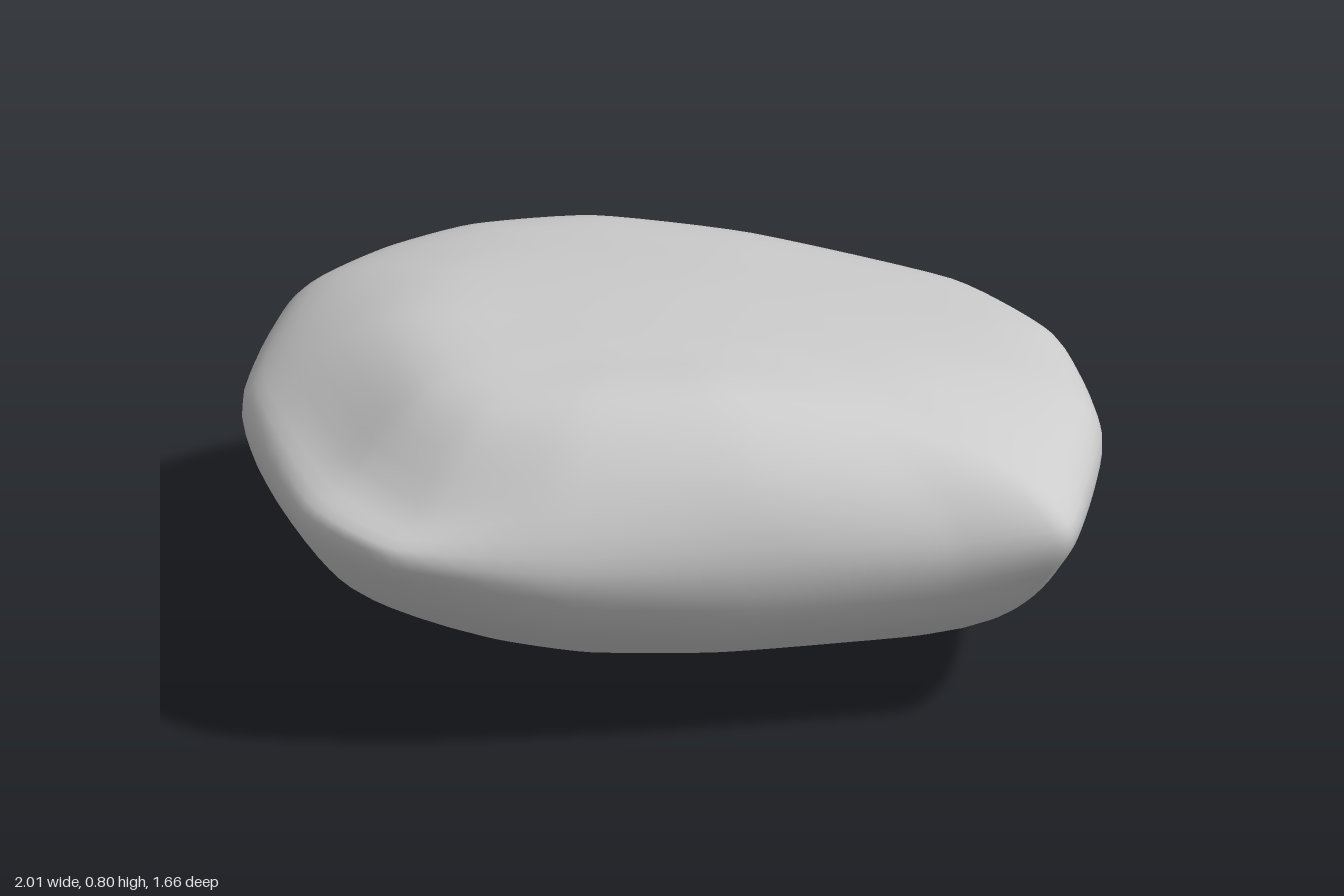
import * as THREE from 'three';

// Stations around the rim, clockwise from above:
// x, z, rim height, then reach and height of the shoulder, belly and underside
const STATIONS = [
  [-1.0, 0.0, 0.55, 0.93, 0.65, 0.955, 0.37, 0.8, 0.19],
  [-0.96, -0.25, 0.56, 0.93, 0.65, 0.95, 0.38, 0.8, 0.19],
  [-0.84, -0.47, 0.57, 0.94, 0.65, 0.95, 0.39, 0.8, 0.19],
  [-0.61, -0.66, 0.57, 0.95, 0.65, 0.94, 0.41, 0.8, 0.19],
  [-0.24, -0.77, 0.57, 0.96, 0.65, 0.93, 0.42, 0.81, 0.19],
  [0.27, -0.83, 0.55, 0.97, 0.635, 0.935, 0.41, 0.81, 0.19],
  [0.58, -0.74, 0.54, 0.96, 0.63, 0.95, 0.4, 0.85, 0.2],
  [0.82, -0.51, 0.53, 0.95, 0.62, 0.96, 0.38, 0.85, 0.22],
  [0.95, -0.24, 0.52, 0.93, 0.61, 0.95, 0.36, 0.86, 0.24],
  [1.0, -0.07, 0.5, 0.91, 0.6, 0.93, 0.36, 0.82, 0.24],
  [0.8, 0.09, 0.47, 0.9, 0.62, 0.93, 0.31, 0.78, 0.2],
  [0.47, 0.37, 0.48, 0.9, 0.66, 0.94, 0.31, 0.75, 0.18],
  [0.1, 0.67, 0.49, 0.87, 0.66, 0.94, 0.35, 0.75, 0.21],
  [-0.2, 0.83, 0.52, 0.88, 0.59, 0.91, 0.38, 0.72, 0.23],
  [-0.47, 0.77, 0.54, 0.87, 0.61, 0.91, 0.36, 0.72, 0.21],
  [-0.86, 0.39, 0.55, 0.91, 0.64, 0.94, 0.35, 0.77, 0.18],
];
const TOP = [-0.05, -0.05]; // where the upper spokes meet
const BASE = [-0.16, -0.17]; // where the lower spokes meet
const AROUND = 96;
const DOWN = 36;

// Gently domed, tilted upper face, falling away towards the cut side
const topHeight = (x, z) =>
  0.8 -
  0.1 * (x + 0.05) ** 2 -
  (z < 0.25 ? 0.155 : 0.375) * (z - 0.25) ** 2 -
  0.25 * Math.max(0, 0.81 * x + 0.59 * z - 0.35);

// One point on the spoke from a centre to the rim
function spoke([cx, cz], [x, z], reach, y) {
  const px = cx + (x - cx) * reach;
  const pz = cz + (z - cz) * reach;
  return new THREE.Vector3(px, y ?? topHeight(px, pz), pz);
}

// Control points from the top centre, over the rim, to the base centre
function profile(s) {
  const [, , rim, shoulder, shoulderY, belly, bellyY, under, underY] = s;
  return [
    spoke(TOP, s, 0),
    spoke(TOP, s, 0.3),
    spoke(TOP, s, 0.64),
    spoke(TOP, s, shoulder, shoulderY),
    spoke(TOP, s, 1, rim),
    spoke(BASE, s, belly, bellyY),
    spoke(BASE, s, under, underY),
    spoke(BASE, s, under * 0.55, underY * 0.28),
    spoke(BASE, s, 0, 0),
  ];
}

function stoneGeometry() {
  const profiles = STATIONS.map(profile);
  const levels = profiles[0].length;

  // Closed rings through the stations, kept taut between them
  const rings = [];
  for (let k = 1; k < levels - 1; k++) {
    const points = profiles.map((p) => p[k]);
    rings.push(new THREE.CatmullRomCurve3(points, true, 'catmullrom', 0.3));
  }

  const positions = [...profiles[0][0].toArray()];
  for (let i = 0; i < AROUND; i++) {
    const meridian = new THREE.CatmullRomCurve3([
      profiles[0][0],
      ...rings.map((r) => r.getPoint(i / AROUND)),
      profiles[0][levels - 1],
    ]);
    for (let j = 1; j < DOWN; j++) {
      positions.push(...meridian.getPoint(j / DOWN).toArray());
    }
  }
  positions.push(...profiles[0][levels - 1].toArray());

  // Join neighbouring meridians, with a fan at each end
  const last = positions.length / 3 - 1;
  const at = (i, j) => 1 + (i % AROUND) * (DOWN - 1) + (j - 1);
  const index = [];
  for (let i = 0; i < AROUND; i++) {
    index.push(0, at(i + 1, 1), at(i, 1));
    for (let j = 1; j < DOWN - 1; j++) {
      const a = at(i, j), b = at(i + 1, j), c = at(i, j + 1), d = at(i + 1, j + 1);
      index.push(a, b, c, b, d, c);
    }
    index.push(at(i, DOWN - 1), at(i + 1, DOWN - 1), last);
  }

  const geometry = new THREE.BufferGeometry();
  geometry.setAttribute('position', new THREE.Float32BufferAttribute(positions, 3));
  geometry.setIndex(index);
  geometry.computeVertexNormals();
  return geometry;
}

export function createModel() {
  const group = new THREE.Group();
  group.name = 'rock';
  const stone = new THREE.Mesh(
    stoneGeometry(),
    new THREE.MeshStandardMaterial({ color: 0xcccccc })
  );
  stone.name = 'stone';
  group.add(stone);
  return group;
}
